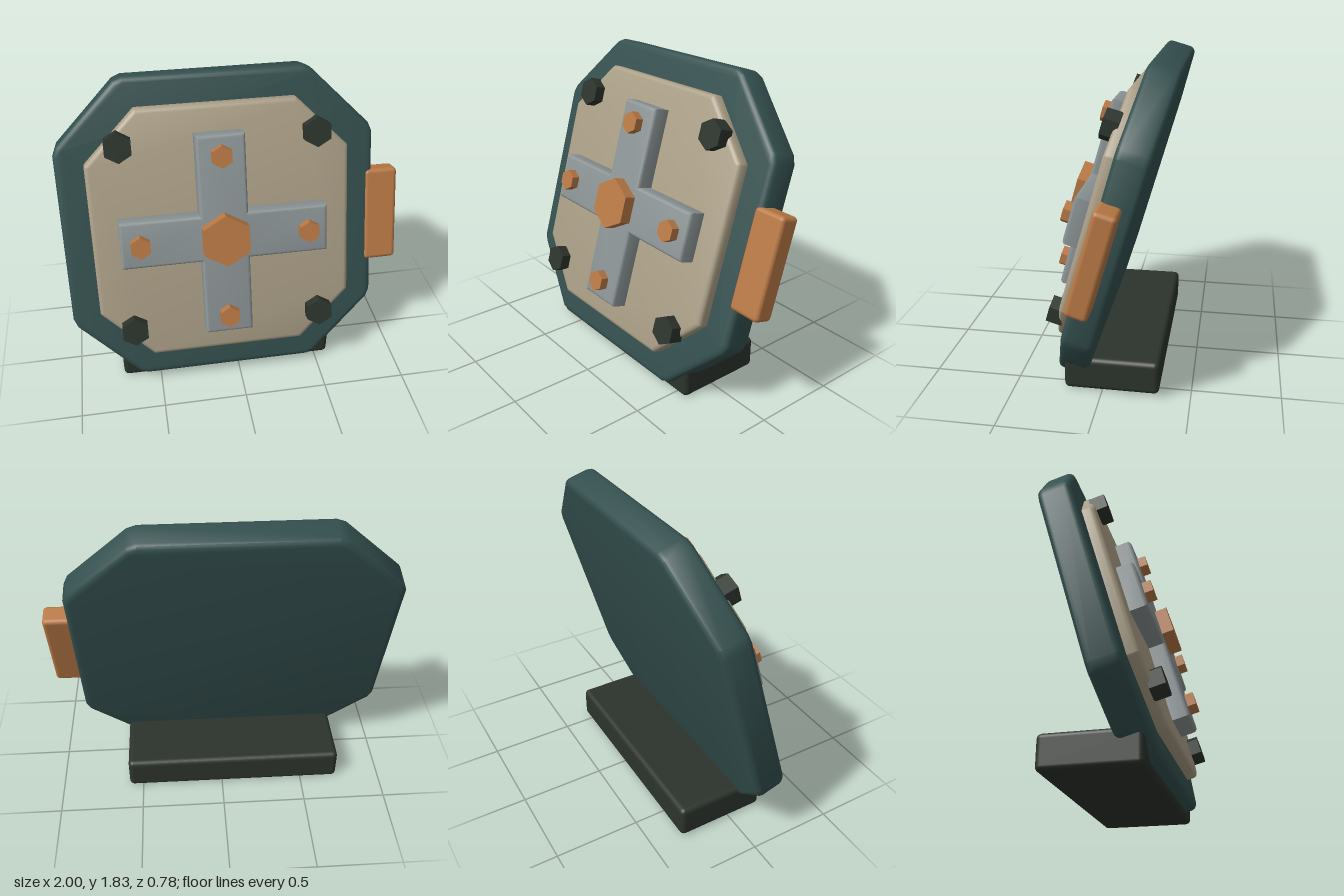
import * as THREE from 'three';
import { toCreasedNormals } from 'three/addons/utils/BufferGeometryUtils.js';
import { RoundedBoxGeometry } from 'three/addons/geometries/RoundedBoxGeometry.js';

const material = (name, color) => {
  const m = new THREE.MeshStandardMaterial({ color });
  m.name = name;
  return m;
};

// Octagon outline with slightly clipped corners
function octagon(half, cut, clip) {
  const a = half - cut, d = clip * 0.7;
  const corner = [[half, a - clip], [half - d, a + d], [a + d, half - d], [a - clip, half]];
  const pts = [];
  for (let i = 0; i < 4; i++) {
    const c = Math.round(Math.cos(i * Math.PI / 2)), s = Math.round(Math.sin(i * Math.PI / 2));
    for (const [x, y] of corner) pts.push([x * c - y * s, x * s + y * c]);
  }
  return pts;
}

// Outline of a plus with arm length l and half width w
function cross(l, w) {
  return [[l, -w], [l, w], [w, w], [w, l], [-w, l], [-w, w],
    [-l, w], [-l, -w], [-w, -w], [-w, -l], [w, -l], [w, -w]];
}

// Extruded slab with rounded rims between depths z0 and z1
function slab(points, z0, z1, bevel) {
  const shape = new THREE.Shape(points.map(([x, y]) => new THREE.Vector2(x, y)));
  const geo = new THREE.ExtrudeGeometry(shape, {
    depth: z1 - z0 - 2 * bevel, bevelEnabled: true, bevelThickness: bevel,
    bevelSize: bevel, bevelOffset: -bevel, bevelSegments: 3,
  });
  geo.translate(0, 0, z0 + bevel);
  return toCreasedNormals(geo, 0.6);
}

// Hexagonal bolt head facing +z, point up
function hexHead(radius, z0, z1) {
  const geo = new THREE.CylinderGeometry(radius, radius, z1 - z0, 6);
  geo.rotateX(Math.PI / 2);
  geo.translate(0, 0, (z0 + z1) / 2);
  return toCreasedNormals(geo, 0.5);
}

export function createModel() {
  const teal = material('dark teal', 0x34504f);
  const tan = material('tan', 0xab9f87);
  const steel = material('steel grey', 0x8c9496);
  const copper = material('copper', 0xb97945);
  const dark = material('dark green', 0x2c332c);

  const model = new THREE.Group();
  model.name = 'tiltedPanel';
  const add = (parent, name, geo, mat, x = 0, y = 0, z = 0) => {
    const mesh = new THREE.Mesh(geo, mat);
    mesh.name = name;
    mesh.position.set(x, y, z);
    parent.add(mesh);
  };

  // Everything on the panel leans back together; local z = 0 is mid-thickness
  const panel = new THREE.Group();
  panel.name = 'panel';
  panel.position.set(-0.075, 0.923, -0.058);
  panel.rotation.x = -THREE.MathUtils.degToRad(16);
  model.add(panel);

  const front = 0.092;
  add(panel, 'body', slab(octagon(0.922, 0.385, 0.03), -front, front, 0.035), teal);
  add(panel, 'facePlate', slab(octagon(0.755, 0.3, 0.005), front - 0.03, front + 0.067, 0.028), tan);
  add(panel, 'crossBar', slab(cross(0.6, 0.14), front + 0.04, front + 0.166, 0.02), steel);

  // Bolts
  add(panel, 'centreBolt', hexHead(0.153, front + 0.14, front + 0.234), copper);
  const small = hexHead(0.064, front + 0.14, front + 0.215);
  const corner = hexHead(0.086, front + 0.042, front + 0.13);
  for (const s of [-1, 1]) {
    add(panel, 'sideArmBolt', small, copper, s * 0.485, 0);
    add(panel, 'uprightArmBolt', small, copper, 0, s * 0.485);
    for (const t of [-1, 1]) add(panel, 'cornerBolt', corner, dark, s * 0.56, t * 0.56);
  }

  // Side grip on the model's left
  add(panel, 'sideGrip', new RoundedBoxGeometry(0.2, 0.575, 0.125, 2, 0.025), copper, 0.975, -0.01, 0.038);

  // Foot behind the lower edge
  add(model, 'foot', new RoundedBoxGeometry(1.315, 0.195, 0.54, 3, 0.03), dark, -0.0725, 0.0975, -0.052);

  return model;
}
